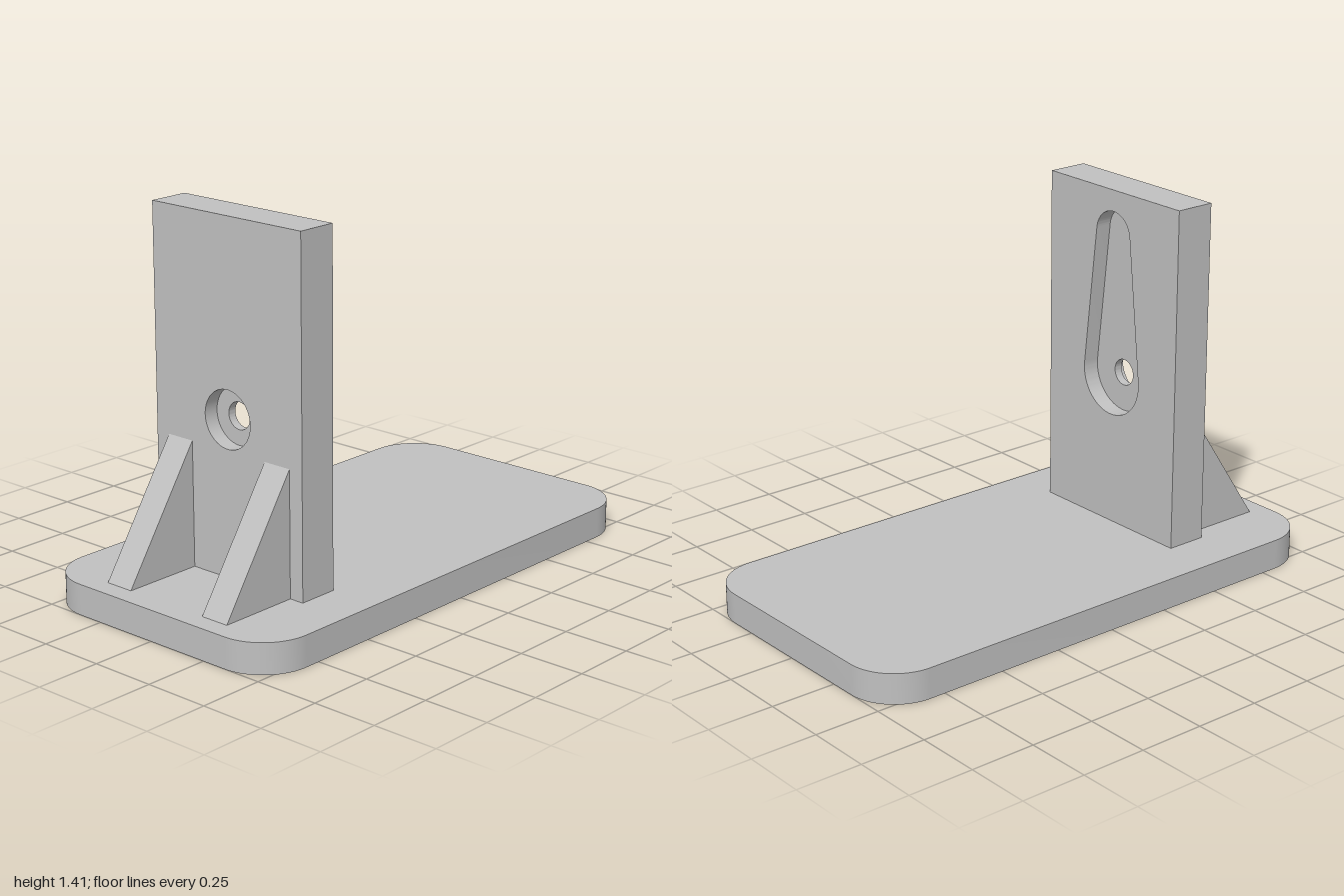
import * as THREE from 'three';
import { mergeGeometries, toCreasedNormals } from 'three/addons/utils/BufferGeometryUtils.js';

const SEGMENTS = 32;
const BASE_TOP = 0.115;
const HOLE_Y = 0.695;

const circle = (r) => new THREE.Shape().absarc(0, HOLE_Y, r, 0, Math.PI * 2, false);

// Flat cap at a given z, facing +z, or -z when flipped
function cap(outline, hole, z, flip = false) {
  const shape = outline.clone();
  shape.holes = [hole];
  const g = new THREE.ShapeGeometry(shape, SEGMENTS).translate(0, 0, z);
  if (flip) g.setIndex(Array.from(g.index.array).reverse());
  const flat = g.toNonIndexed();
  flat.deleteAttribute('uv');
  flat.deleteAttribute('normal');
  return flat;
}

// Wall along an outline; faces outward when z0 < z1, inward when z0 > z1
function wall(outline, z0, z1) {
  const pts = outline.getPoints(SEGMENTS);
  const pos = [];
  pts.forEach((a, i) => {
    const b = pts[(i + 1) % pts.length];
    if (a.distanceTo(b) < 1e-6) return;
    pos.push(a.x, a.y, z0, b.x, b.y, z0, b.x, b.y, z1);
    pos.push(a.x, a.y, z0, b.x, b.y, z1, a.x, a.y, z1);
  });
  return new THREE.BufferGeometry().setAttribute('position', new THREE.Float32BufferAttribute(pos, 3));
}

// Foot plate with rounded corners
function baseGeometry() {
  const w = 0.54, d = 1, r = 0.19, q = Math.PI / 2;
  const s = new THREE.Shape();
  s.absarc(w - r, d - r, r, 0, q, false);
  s.absarc(r - w, d - r, r, q, 2 * q, false);
  s.absarc(r - w, r - d, r, 2 * q, 3 * q, false);
  s.absarc(w - r, r - d, r, 3 * q, 4 * q, false);
  s.closePath();
  const g = new THREE.ExtrudeGeometry(s, { depth: BASE_TOP, bevelEnabled: false, curveSegments: 16 });
  return toCreasedNormals(g.rotateX(-Math.PI / 2), 0.5);
}

// Upright with a stepped bolt hole in front and a tapered pocket behind
function uprightGeometry() {
  const w = 0.345, top = 1.41;
  const back = 0.46, pocketFloor = 0.525, boreFloor = 0.557, front = 0.615;
  const outline = new THREE.Shape([
    new THREE.Vector2(-w, BASE_TOP), new THREE.Vector2(w, BASE_TOP),
    new THREE.Vector2(w, top), new THREE.Vector2(-w, top),
  ]);
  const bolt = circle(0.05), bore = circle(0.107);

  // Teardrop from two circles joined by their tangents
  const bigR = 0.15, smallR = 0.09, topY = 1.24;
  const tilt = Math.asin((bigR - smallR) / (topY - HOLE_Y));
  const pocket = new THREE.Shape();
  pocket.absarc(0, topY, smallR, tilt, Math.PI - tilt, false);
  pocket.absarc(0, HOLE_Y, bigR, Math.PI - tilt, Math.PI * 2 + tilt, false);
  pocket.closePath();

  return toCreasedNormals(mergeGeometries([
    wall(outline, back, front),
    cap(outline, bore, front),
    wall(bore, front, boreFloor),
    cap(bore, bolt, boreFloor),
    wall(bolt, boreFloor, pocketFloor),
    cap(pocket, bolt, pocketFloor, true),
    wall(pocket, pocketFloor, back),
    cap(outline, pocket, back, true),
  ]), 0.5);
}

// Triangular brace, profile drawn in z and y
function gussetGeometry() {
  const s = new THREE.Shape([
    new THREE.Vector2(0.615, BASE_TOP), new THREE.Vector2(0.925, BASE_TOP), new THREE.Vector2(0.615, 0.582),
  ]);
  const width = 0.115;
  return new THREE.ExtrudeGeometry(s, { depth: width, bevelEnabled: false })
    .translate(0, 0, -width / 2).rotateY(-Math.PI / 2);
}

export function createModel() {
  const group = new THREE.Group();
  group.name = 'stand';
  const grey = new THREE.MeshStandardMaterial({ color: 0xc0c0c0 });
  grey.name = 'grey';

  const add = (name, geometry, x = 0) => {
    const mesh = new THREE.Mesh(geometry, grey);
    mesh.name = name;
    mesh.position.x = x;
    group.add(mesh);
  };

  add('base', baseGeometry());
  add('upright', uprightGeometry());
  const gusset = gussetGeometry();
  add('leftGusset', gusset, 0.23);
  add('rightGusset', gusset, -0.23);
  return group;
}
